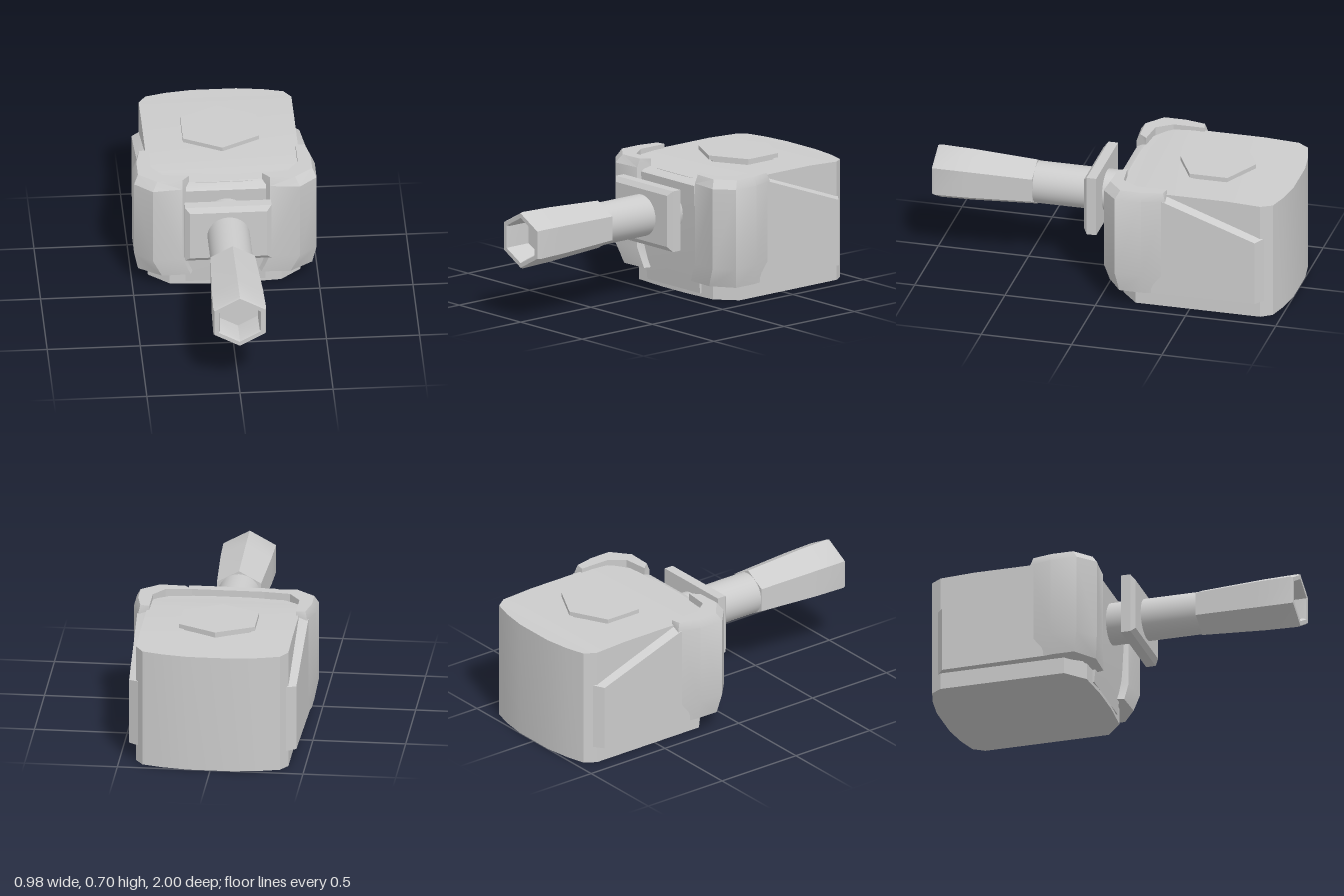
import * as THREE from 'three';
import { toCreasedNormals } from 'three/addons/utils/BufferGeometryUtils.js';

const material = new THREE.MeshStandardMaterial({ color: 0xcccccc });

function part(parent, name, geometry, crease = 0.5) {
  const mesh = new THREE.Mesh(toCreasedNormals(geometry, crease), material);
  mesh.name = name;
  parent.add(mesh);
  return mesh;
}

// Closed solid through matching rings of [x, y, z]; u and v are the axes of the cap plane.
function loft(rings, u, v) {
  const n = rings[0].length;
  const pts = rings.flat();
  const tris = [];
  for (let i = 0; i < rings.length - 1; i++) {
    for (let j = 0; j < n; j++) {
      const a = i * n + j, b = i * n + (j + 1) % n;
      tris.push([a, b, b + n], [a, b + n, a + n]);
    }
  }
  for (const [base, isEnd] of [[0, false], [(rings.length - 1) * n, true]]) {
    const flat = pts.slice(base, base + n).map((p) => new THREE.Vector2(p[u], p[v]));
    const sign = Math.sign(THREE.ShapeUtils.area(flat));
    for (const t of THREE.ShapeUtils.triangulateShape(flat, [])) {
      const same = Math.sign(THREE.ShapeUtils.area(t.map((k) => flat[k]))) === sign;
      const [a, b, c] = t.map((k) => k + base);
      tris.push(same === isEnd ? [a, b, c] : [a, c, b]);
    }
  }
  // Turn every face outward
  const p = pts.map((q) => new THREE.Vector3(...q));
  let volume = 0;
  for (const [a, b, c] of tris) volume += p[a].dot(p[b].clone().cross(p[c]));
  const index = tris.flatMap(([a, b, c]) => (volume > 0 ? [a, b, c] : [a, c, b]));
  const g = new THREE.BufferGeometry();
  g.setAttribute('position', new THREE.Float32BufferAttribute(pts.flat(), 3));
  g.setIndex(index);
  return g;
}

const mirrored = (rings, s) => rings.map((r) => r.map(([x, y, z]) => [x * s, y, z]));

export function createModel() {
  const turret = new THREE.Group();
  turret.name = 'turret';

  // Main body: stations of z, half width and roof height
  const stations = [
    [-1, 0.12, 0.648], [-0.98, 0.26, 0.649], [-0.95, 0.37, 0.65], [-0.89, 0.41, 0.653],
    [-0.7, 0.41, 0.662], [-0.3, 0.41, 0.662], [-0.2, 0.41, 0.655], [-0.105, 0.3, 0.645], [-0.09, 0.1, 0.645],
  ];
  part(turret, 'body', loft(stations.map(([z, w, y]) => [[-w, 0, z], [w, 0, z], [w, y, z], [-w, y, z]]), 0, 1));

  // Front plate between the cheeks, leaning out toward its top
  const frontProfile = [[-0.2, 0.02], [-0.09, 0.02], [-0.065, 0.25], [-0.045, 0.62], [-0.095, 0.645], [-0.2, 0.645]];
  part(turret, 'frontPlate', loft([-0.215, 0.215].map((x) => frontProfile.map(([z, y]) => [x, y, z])), 2, 1));

  // Cheek armour: the same outline at four heights, drawn in at top and bottom
  const inner = [[0.395, -0.37], [0.395, -0.2], [0.335, -0.115]];
  const middle = [[0.195, -0.1], [0.235, -0.035], [0.395, -0.02], [0.49, -0.105], [0.49, -0.25], [0.455, -0.375]];
  const top = [[0.195, -0.1], [0.235, -0.055], [0.37, -0.05], [0.468, -0.13], [0.468, -0.25], [0.445, -0.36]];
  const bottom = [[0.17, -0.11], [0.19, -0.045], [0.345, -0.04], [0.468, -0.125], [0.468, -0.25], [0.45, -0.375]];
  const cheekRings = [[bottom, 0.092], [middle, 0.2], [middle, 0.64], [top, 0.685]]
    .map(([outline, y]) => [...outline, ...inner].map(([x, z]) => [x, y, z]));

  // Side plate: outline falling to the rear, bevelled along the slope and rear edge
  const plateInner = [[-0.3, 0.092], [-0.91, 0.092], [-0.91, 0.46], [-0.33, 0.672], [-0.3, 0.672]];
  const plateOuter = [[-0.3, 0.092], [-0.87, 0.092], [-0.87, 0.452], [-0.36, 0.64], [-0.3, 0.64]];
  const plateRings = [
    plateInner.map(([z, y]) => [0.395, y, z]),
    plateOuter.map(([z, y]) => [0.462 + (z + 0.3) * 0.02, y, z]),
  ];
  for (const [side, s] of [['left', 1], ['right', -1]]) {
    part(turret, side + 'Cheek', loft(mirrored(cheekRings, s), 0, 2));
    part(turret, side + 'SidePlate', loft(mirrored(plateRings, s), 2, 1));
  }

  // Roof hatch: hexagonal lid on a smaller hexagonal base
  const hatch = new THREE.Group();
  hatch.name = 'hatch';
  hatch.position.set(0, 0.66, -0.55);
  hatch.scale.x = 1.12;
  turret.add(hatch);
  part(hatch, 'hatchBase', new THREE.CylinderGeometry(0.185, 0.185, 0.04, 6));
  part(hatch, 'hatchLid', new THREE.CylinderGeometry(0.21, 0.21, 0.023, 6)).position.y = 0.0285;

  // Gun shield with a bevelled front
  const rect = (w, y0, y1, z) => [[-w, y0, z], [w, y0, z], [w, y1, z], [-w, y1, z]];
  part(turret, 'gunShield', loft([
    rect(0.232, 0.285, 0.62, 0.065), rect(0.232, 0.285, 0.62, 0.118), rect(0.207, 0.312, 0.594, 0.14),
  ], 0, 1));

  // Barrel
  const barrel = part(turret, 'barrel', new THREE.CylinderGeometry(0.114, 0.114, 0.62, 32).rotateX(Math.PI / 2));
  barrel.position.set(0, 0.45, 0.17);

  // Hollow hexagonal muzzle
  const muzzleProfile = [
    [0, 0.45], [0.131, 0.45], [0.151, 0.8], [0.156, 0.985], [0.15, 1], [0.125, 1], [0.117, 0.985], [0.117, 0.85], [0, 0.85],
  ].map(([r, z]) => new THREE.Vector2(r, z));
  const muzzle = part(turret, 'muzzle', new THREE.LatheGeometry(muzzleProfile, 6).rotateX(Math.PI / 2));
  muzzle.position.y = 0.45;
  muzzle.scale.x = 1.05;

  return turret;
}
